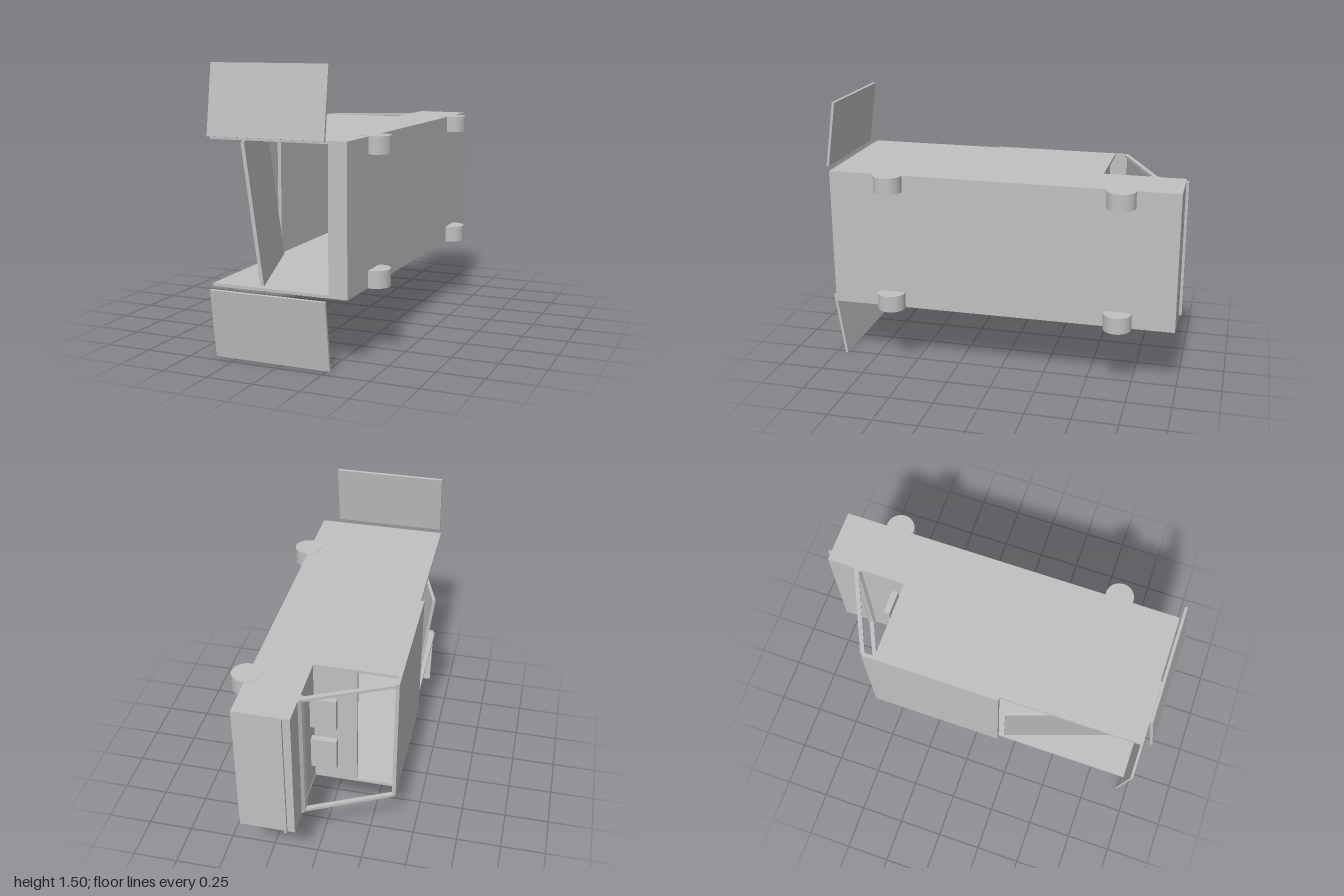
import * as THREE from 'three';

// A van resting on its side: wheels toward +x, roof toward -x, nose toward -z.
export function createModel() {
  const group = new THREE.Group();
  const grey = new THREE.MeshStandardMaterial({ color: 0xc0c0c0 });
  grey.name = 'plain grey';

  const add = (name, geometry) => {
    const mesh = new THREE.Mesh(geometry, grey);
    mesh.name = name;
    group.add(mesh);
    return mesh;
  };
  // Box given by its lower and upper limits on each axis
  const block = (name, [x0, x1], [y0, y1], [z0, z1]) => {
    const mesh = add(name, new THREE.BoxGeometry(x1 - x0, y1 - y0, z1 - z0));
    mesh.position.set((x0 + x1) / 2, (y0 + y1) / 2, (z0 + z1) / 2);
    return mesh;
  };

  const LOW = 0.37, HIGH = 1.14, WALL = 0.016;
  const inner = [LOW + WALL, HIGH - WALL];
  const points = (list) => list.map(([x, z]) => new THREE.Vector2(x, -z));

  // Side walls, each with the cab window cut out
  const side = new THREE.Shape(points([
    [0.36, 0.945], [0.36, -0.985], [0.06, -0.985], [0.06, -0.85], [0.045, -0.825],
    [-0.39, -0.615], [-0.405, -0.6], [-0.405, 0.17], [-0.385, 0.17], [-0.385, 0.945],
  ]));
  side.holes.push(new THREE.Path(points([
    [-0.385, -0.535], [0.058, -0.535], [0.058, -0.785], [0.04, -0.795], [-0.385, -0.592],
  ])));
  const sideGeometry = new THREE.ExtrudeGeometry(side, { depth: WALL, bevelEnabled: false });
  sideGeometry.rotateX(-Math.PI / 2);
  add('lowerSideWall', sideGeometry).position.y = LOW;
  add('upperSideWall', sideGeometry).position.y = HIGH - WALL;

  // Floor, nose, roof and the partition behind the cab
  block('cargoFloor', [0.26, 0.36], inner, [-0.53, 0.945]);
  block('nose', [0.06, 0.36], inner, [-0.985, -0.53]);
  block('roof', [-0.405, -0.385], inner, [-0.605, 0.17]);
  block('partition', [-0.175, 0.26], inner, [-0.535, -0.515]);
  block('noseTrim', [0.1, 0.115], [LOW, HIGH], [-1, -0.984]);

  // Ridge at the foot of the windscreen
  const ridge = new THREE.ExtrudeGeometry(new THREE.Shape(points([
    [0.065, -0.85], [0.045, -0.825], [0.04, -0.795], [0.065, -0.785],
  ])), { depth: inner[1] - inner[0], bevelEnabled: false });
  ridge.rotateX(-Math.PI / 2);
  add('windscreenSill', ridge).position.y = inner[0];

  // Seat backs in the cab
  for (const y of [0.61, 0.885]) {
    block('seatBack', [-0.08, 0.06], [y - 0.095, y + 0.095], [-0.62, -0.585]);
  }

  // Crates standing askew on the cargo floor
  for (const [y, z, turn] of [[0.865, 0.1, 0.6], [0.595, 0.2, 0.78]]) {
    const crate = block('crate', [0.205, 0.265], [y - 0.085, y + 0.085], [z - 0.085, z + 0.085]);
    crate.rotation.set(turn, 0, 0);
  }

  // Wheels, nearly flush with the side walls
  const wheel = new THREE.CylinderGeometry(0.078, 0.078, 0.092, 24);
  for (const z of [-0.675, 0.602]) {
    for (const y of [LOW + 0.044, HIGH - 0.044]) add('wheel', wheel).position.set(0.373, y, z);
  }

  // Rear doors, swung wide open
  for (const [y, tilt] of [[0.183, 0.145], [1.322, -0.145]]) {
    const door = add('rearDoor', new THREE.BoxGeometry(0.637, 0.366, 0.015));
    door.position.set(-0.0525, y, 0.967);
    door.rotation.x = tilt;
  }

  // Loose roof panel sunk into its opening, placed by three outer corners
  const corner = new THREE.Vector3(-0.46, 1.115, 0.23);
  const along = new THREE.Vector3(0.25, 0, 0.72);
  const across = new THREE.Vector3(0.085, -0.73, -0.03);
  const normal = along.clone().cross(across).normalize();
  const panel = add('roofPanel', new THREE.BoxGeometry(along.length(), across.length(), 0.018));
  panel.position.copy(corner).addScaledVector(along, 0.5).addScaledVector(across, 0.5)
    .addScaledVector(normal, 0.009);
  panel.quaternion.setFromRotationMatrix(new THREE.Matrix4().makeBasis(
    along.clone().normalize(), across.clone().normalize(), normal));

  return group;
}
